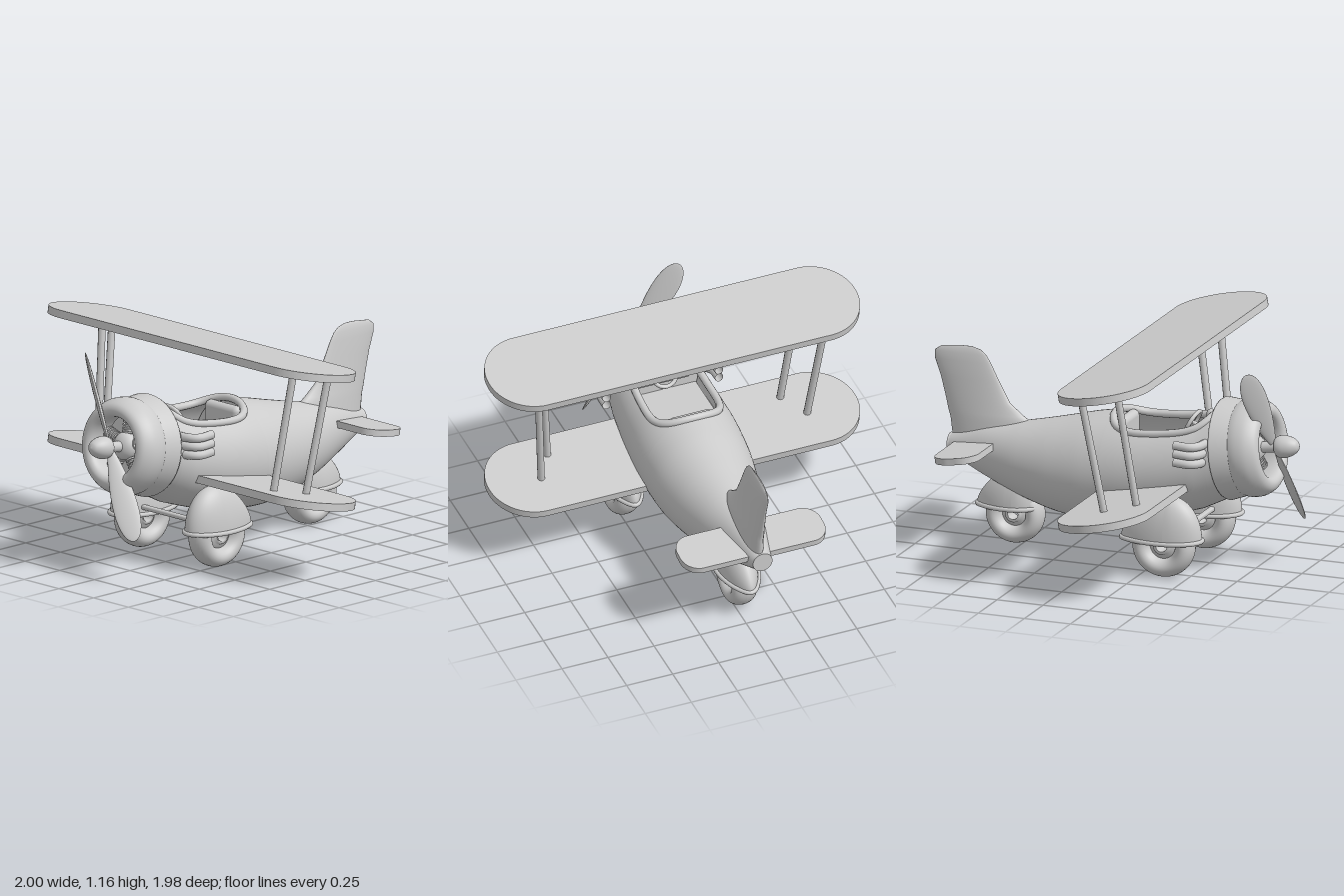
import * as THREE from 'three';
import { mergeVertices } from 'three/addons/utils/BufferGeometryUtils.js';
import { RoundedBoxGeometry } from 'three/addons/geometries/RoundedBoxGeometry.js';

const V = (x, y, z) => new THREE.Vector3(x, y, z);
const CX = -0.03; // fuselage centre line
const solid = new THREE.MeshStandardMaterial({ color: 0xcccccc });
const thin = new THREE.MeshStandardMaterial({ color: 0xcccccc, side: THREE.DoubleSide });

function add(parent, name, geo, x = 0, y = 0, z = 0, mat = solid) {
  const m = new THREE.Mesh(geo, mat);
  m.name = name;
  m.position.set(x, y, z);
  parent.add(m);
  return m;
}

// Skin through rings of equal point count
function loft(rings) {
  const n = rings[0].length, idx = [];
  for (let i = 0; i < rings.length - 1; i++)
    for (let j = 0; j < n - 1; j++) {
      const a = i * n + j, b = a + n;
      idx.push(a, b, a + 1, b, b + 1, a + 1);
    }
  let g = new THREE.BufferGeometry().setFromPoints(rings.flat());
  g.setIndex(idx);
  g = mergeVertices(g, 1e-4);
  g.computeVertexNormals();
  return g;
}

const tube = (pts, r, closed = false, seg = 40) =>
  new THREE.TubeGeometry(new THREE.CatmullRomCurve3(pts, closed), seg, r, 10, closed);

// Lathe whose axis lies along +z, profile given as [radius, z]
const latheZ = (pts, seg = 48) =>
  new THREE.LatheGeometry(pts.map(p => new THREE.Vector2(...p)), seg).rotateX(Math.PI / 2);

// Smooth closely spaced profile through a few points
const smooth = (pts, n = 40) =>
  new THREE.SplineCurve(pts.map(p => new THREE.Vector2(...p))).getPoints(n).map(p => [Math.max(p.x, 0), p.y]);

// Flat plate in x/z with elliptical corners rx by rz
function plate(w, d, rx, rz, t) {
  const s = new THREE.Shape(), a = w / 2, b = d / 2, h = Math.PI / 2;
  s.moveTo(a, b - rz);
  [[1, 1], [-1, 1], [-1, -1], [1, -1]].forEach(([i, j], k) =>
    s.absellipse(i * (a - rx), j * (b - rz), rx, rz, k * h, (k + 1) * h, false));
  return new THREE.ExtrudeGeometry(s, { depth: t, bevelEnabled: false, curveSegments: 16 })
    .translate(0, 0, -t / 2).rotateX(Math.PI / 2);
}

// Fuselage stations: z, top, bottom, half width
const stations = [
  [0.64, 0.86, 0.375, 0.232], [0.5, 0.81, 0.305, 0.255], [0.3, 0.785, 0.24, 0.272], [0.1, 0.77, 0.195, 0.28],
  [-0.1, 0.735, 0.18, 0.268], [-0.3, 0.685, 0.2, 0.23], [-0.5, 0.64, 0.257, 0.175],
  [-0.7, 0.6, 0.337, 0.108], [-0.89, 0.535, 0.43, 0.052]];
const topLine = new THREE.CatmullRomCurve3(stations.map(s => V(s[1], s[2], s[3])));
function section(z) {
  let i = 0;
  while (i < stations.length - 2 && z < stations[i + 1][0]) i++;
  const f = (stations[i][0] - z) / (stations[i][0] - stations[i + 1][0]);
  return topLine.getPoint((i + f) / (stations.length - 1));
}
function skin(z, phi) {
  const s = section(z);
  return V(CX + s.z * Math.sin(phi), (s.x + s.y) / 2 + (s.x - s.y) / 2 * Math.cos(phi), z);
}

// Cockpit opening: half angle of the hole at each z
const Z0 = 0.01, Z1 = 0.585;
const holeZ = t => (Z0 + Z1) / 2 + (Z1 - Z0) / 2 * t;
const hole = t => 0.74 * Math.sqrt(Math.max(0, 1 - t ** 4));

function buildFuselage(g) {
  const rings = [], N = 56;
  const ring = (z, p) => rings.push(Array.from({ length: N + 1 }, (_, j) =>
    skin(z, p + (2 * Math.PI - 2 * p) * j / N)));
  ring(0.64, 0);
  ring(0.61, 0);
  for (let i = 0; i <= 32; i++) {
    const t = Math.cos(Math.PI * i / 32);
    ring(holeZ(t), hole(t));
  }
  for (let i = 1; i <= 30; i++) ring(Z0 + (-0.89 - Z0) * i / 30, 0);
  add(g, 'fuselage', loft(rings), 0, 0, 0, thin);
  add(g, 'tailEnd', new THREE.CylinderGeometry(0.053, 0.053, 0.02, 32).rotateX(Math.PI / 2), CX, 0.483, -0.888);

  // Padded cockpit rim
  const rim = [];
  for (let i = 0; i < 48; i++) {
    const a = 2 * Math.PI * i / 48, t = Math.cos(a);
    rim.push(skin(holeZ(t), Math.sign(Math.sin(a)) * hole(t)));
  }
  add(g, 'cockpitRim', tube(rim, 0.02, true, 120));

  // Cockpit interior
  add(g, 'cockpitFloor', new RoundedBoxGeometry(0.46, 0.02, 0.58, 2, 0.01), CX, 0.52, 0.3);
  for (const z of [0.005, 0.56]) {
    const s = section(z);
    add(g, 'bulkhead', new THREE.CircleGeometry(1, 40), CX, (s.x + s.y) / 2, z, thin)
      .scale.set(s.z * 0.97, (s.x - s.y) * 0.485, 1);
  }
  add(g, 'seat', new RoundedBoxGeometry(0.24, 0.07, 0.2, 3, 0.03), CX, 0.56, 0.16);
  add(g, 'seatBack', new RoundedBoxGeometry(0.24, 0.2, 0.06, 3, 0.03), CX, 0.64, 0.06);
  add(g, 'dashboard', new RoundedBoxGeometry(0.36, 0.14, 0.06, 3, 0.02), CX, 0.68, 0.53);
  const wheel = new THREE.Group();
  wheel.name = 'steeringWheel';
  wheel.position.set(CX, 0.74, 0.42);
  wheel.rotation.x = 0.5;
  add(wheel, 'wheelRing', new THREE.TorusGeometry(0.065, 0.011, 10, 32));
  add(wheel, 'column', new THREE.CylinderGeometry(0.012, 0.012, 0.12, 12).rotateX(Math.PI / 2), 0, 0, 0.06);
  for (let i = 0; i < 3; i++)
    add(wheel, 'spoke', new THREE.BoxGeometry(0.012, 0.06, 0.01).translate(0, 0.03, 0)).rotation.z = i * 2.094;
  g.add(wheel);
  add(g, 'lever', new THREE.CapsuleGeometry(0.025, 0.05, 6, 14), CX, 0.77, 0.52);
}

// Cowling, radial engine and propeller share one tilted axis
function buildNose(g) {
  const nose = new THREE.Group();
  nose.name = 'nose';
  nose.position.set(CX, 0.625, 0.62);
  nose.rotation.x = -0.14;
  g.add(nose);
  add(nose, 'cowlBand', latheZ([[0.235, -0.01], [0.258, -0.01], [0.262, 0], [0.24, 0.1]]), 0, 0, 0, thin);
  add(nose, 'cowlRing', latheZ(smooth([[0.225, 0.07], [0.242, 0.09], [0.25, 0.13], [0.244, 0.18], [0.218, 0.225],
    [0.185, 0.238], [0.158, 0.222], [0.15, 0.18], [0.16, 0.1]])), 0, 0, 0, thin);
  add(nose, 'firewall', new THREE.CircleGeometry(0.235, 40), 0, 0, 0.06, thin);
  add(nose, 'crankcase', latheZ([[0.07, 0.05], [0.07, 0.15], [0.045, 0.18], [0, 0.185]], 28), 0, 0, 0, thin);
  for (let i = 0; i < 5; i++) {
    const cyl = new THREE.Group();
    cyl.name = 'engineCylinder';
    cyl.rotation.z = i * Math.PI * 0.4;
    add(cyl, 'barrel', new THREE.CylinderGeometry(0.022, 0.022, 0.1, 14), 0, 0.11, 0.12);
    for (let k = 0; k < 5; k++)
      add(cyl, 'coolingFin', new THREE.CylinderGeometry(0.035, 0.035, 0.008, 18), 0, 0.075 + k * 0.017, 0.12);
    nose.add(cyl);
  }
  add(nose, 'propShaft', new THREE.CylinderGeometry(0.028, 0.028, 0.14, 18).rotateX(Math.PI / 2), 0, 0, 0.2);
  add(nose, 'spinner', latheZ(smooth([[0, 0.255], [0.045, 0.258], [0.058, 0.29], [0.05, 0.335], [0.028, 0.37],
    [0, 0.382]]), 28), 0, 0, 0, thin);

  // Leaf-shaped blade, widened from a flat ellipsoid
  const blade = new THREE.SphereGeometry(1, 28, 24), p = blade.attributes.position;
  for (let i = 0; i < p.count; i++) {
    const u = (p.getY(i) + 1) / 2;
    p.setXYZ(i, p.getX(i) * (0.035 + 0.05 * u), 0.5 * u, p.getZ(i) * 0.013);
  }
  blade.computeVertexNormals();
  blade.rotateY(-0.8);
  for (const k of [0, 1])
    add(nose, 'propellerBlade', blade, 0, 0, 0.245).rotation.z = 0.5 + k * Math.PI;
}

function buildWings(g) {
  const wing = plate(2, 0.485, 0.23, 0.24, 0.04);
  add(g, 'upperWing', wing, 0, 1.095, 0.245).rotation.x = -0.175;
  add(g, 'lowerWing', wing, 0, 0.425, 0.245).rotation.x = -0.175;
  add(g, 'tailplane', plate(0.78, 0.24, 0.09, 0.1, 0.034), CX, 0.506, -0.735).rotation.x = -0.14;
  for (const s of [1, -1]) {
    add(g, 'frontStrut', tube([V(s * 0.69, 1.09, 0.27), V(s * 0.63, 0.44, 0.36)], 0.019, false, 2));
    add(g, 'rearStrut', tube([V(s * 0.78, 1.07, 0.11), V(s * 0.72, 0.42, 0.22)], 0.019, false, 2));
  }

  // Tail fin sections: y, leading z, trailing z, half thickness
  const rows = [[0.5, -0.36, -0.885, 0.06], [0.62, -0.44, -0.9, 0.05], [0.66, -0.5, -0.912, 0.044],
    [0.72, -0.575, -0.925, 0.036], [0.83, -0.635, -0.953, 0.028], [0.92, -0.68, -0.985, 0.022],
    [0.96, -0.705, -0.985, 0.016], [0.985, -0.735, -0.95, 0.01], [0.998, -0.78, -0.84, 0.001]];
  add(g, 'tailFin', loft(rows.map(([y, a, b, t]) => Array.from({ length: 33 }, (_, j) => {
    const w = 2 * Math.PI * j / 32;
    return V(CX + 0.008 + t * Math.sin(w), y, (a + b) / 2 + (a - b) / 2 * Math.cos(w));
  }))), 0, 0, 0, thin);
}

// Wheel with teardrop fender; front/rear are the fender's reach from its centre
function landingWheel(g, name, x, z, r, fz, front, rear, height) {
  const unit = new THREE.Group();
  unit.name = name;
  unit.position.set(x, 0, z);
  g.add(unit);
  const k = r / 0.166, tire = [];
  for (let i = 0; i <= 28; i++) {
    const a = 2 * Math.PI * i / 28;
    tire.push([k * (0.116 + 0.05 * Math.cos(a)), 0.068 * Math.sin(a)]);
  }
  const hub = [[0.03, -0.04], [0.045, -0.04], [0.052, -0.02], [0.085, -0.02], [0.085, 0.02], [0.052, 0.02],
    [0.045, 0.04], [0.03, 0.04], [0.03, -0.04]].map(([a, b]) => [a * k, b]);
  add(unit, 'tire', latheZ(tire).rotateY(Math.PI / 2), 0, r, 0, thin);
  add(unit, 'hub', latheZ(hub, 28).rotateY(Math.PI / 2), 0, r, 0, thin);

  const zMap = v => (v > 0 ? front : rear) * v;
  const taper = v => (v < 0 ? 1 - 0.3 * v * v : 1);
  const dome = new THREE.SphereGeometry(1, 40, 16, 0, 2 * Math.PI, 0, Math.PI / 2), p = dome.attributes.position;
  for (let i = 0; i < p.count; i++) {
    const v = p.getZ(i), y = Math.max(0, p.getY(i));
    p.setXYZ(i, p.getX(i) * 0.098 * taper(v),
      height * Math.pow(y, v > 0 ? 0.9 : 1) * (v < 0 ? 1 - 0.35 * v * v : 1), zMap(v));
  }
  dome.computeVertexNormals();
  add(unit, 'fender', dome, 0, 0.19, fz - z, thin);
  const lip = [];
  for (let i = 0; i < 32; i++) {
    const a = 2 * Math.PI * i / 32, v = Math.cos(a);
    lip.push(V(0.102 * Math.sin(a) * taper(v), 0, zMap(v)));
  }
  add(unit, 'fenderLip', tube(lip, 0.012, true, 64), 0, 0.195, fz - z).rotation.x = -0.04;
}

export function createModel() {
  const g = new THREE.Group();
  g.name = 'biplane';
  buildFuselage(g);
  buildNose(g);
  buildWings(g);
  for (const s of [1, -1]) {
    landingWheel(g, 'frontWheel', CX + s * 0.268, 0.372, 0.166, 0.4, 0.175, 0.26, 0.235);
    // Three stacked exhaust pipes on each side
    for (let i = 0; i < 3; i++) {
      const y = 0.7 - i * 0.045, x = q => CX + s * q;
      add(g, 'exhaustPipe', tube([V(x(0.2), y, 0.57), V(x(0.27), y, 0.555), V(x(0.3), y, 0.52),
        V(x(0.305), y + 0.005, 0.44)], 0.023, false, 16), 0, 0, 0, thin);
    }
  }
  landingWheel(g, 'tailWheel', CX, -0.543, 0.155, -0.53, 0.12, 0.22, 0.2);
  add(g, 'axleBar', new RoundedBoxGeometry(0.4, 0.025, 0.03, 2, 0.01), CX, 0.235, 0.45);
  return g;
}
